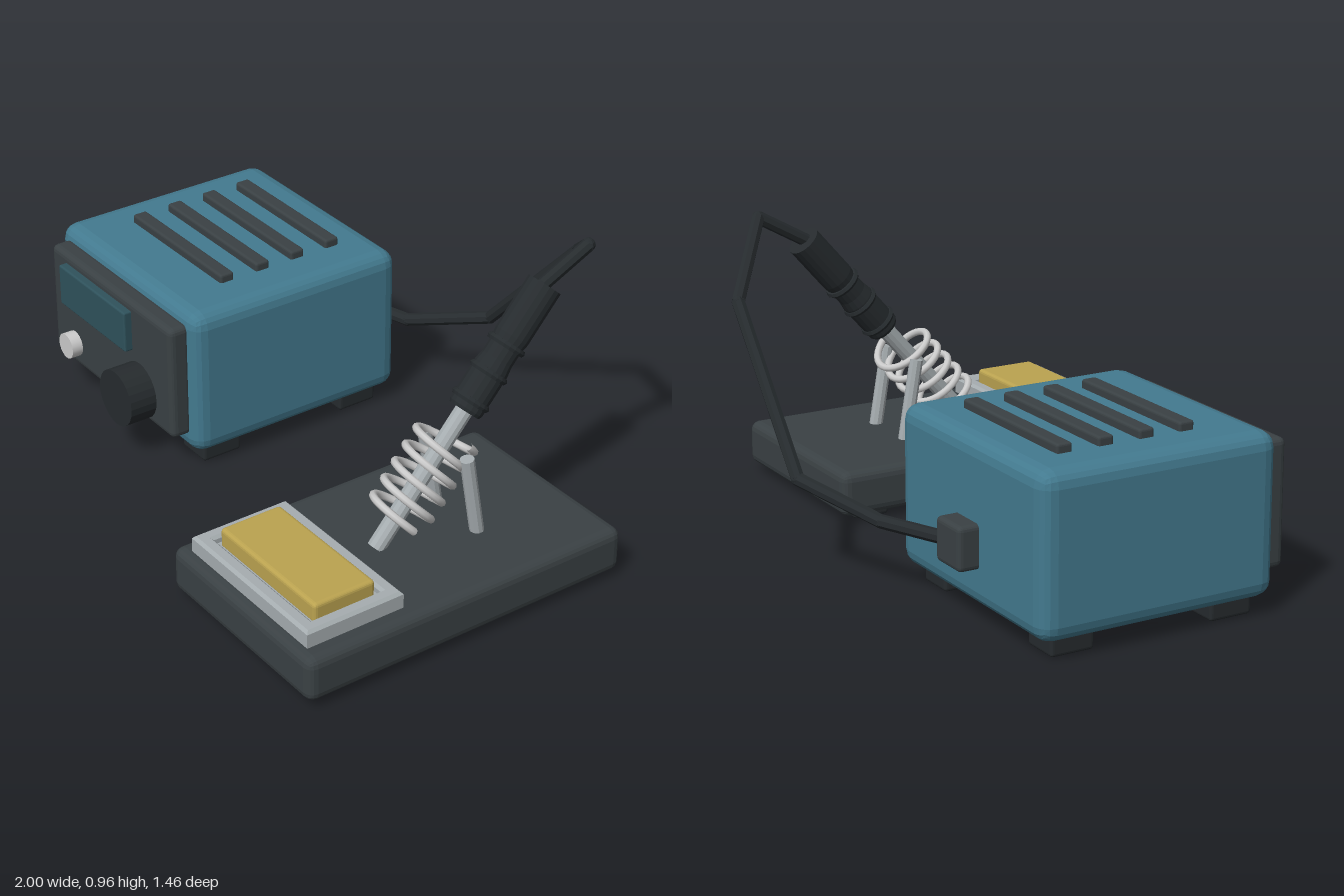
import * as THREE from 'three';
import { RoundedBoxGeometry } from 'three/addons/geometries/RoundedBoxGeometry.js';

const mat = (color) => new THREE.MeshStandardMaterial({ color, flatShading: true });
const teal = mat(0x437a8f), dark = mat(0x3a4144), black = mat(0x262b2e);
const glass = mat(0x2f525c), metal = mat(0xa6adb0), yellow = mat(0xbba350);
const wire = new THREE.MeshStandardMaterial({ color: 0xcccccc });
const V = (x, y, z) => new THREE.Vector3(x, y, z);

export function createModel() {
  const model = new THREE.Group();

  const add = (name, geometry, material, parent = model) => {
    const mesh = new THREE.Mesh(geometry, material);
    mesh.name = name;
    parent.add(mesh);
    return mesh;
  };
  const group = (name) => {
    const g = new THREE.Group();
    g.name = name;
    model.add(g);
    return g;
  };
  // Bevelled box given by its ranges on x, y and z
  const box = (name, [x0, x1], [y0, y1], [z0, z1], radius, material, parent) => {
    const g = new RoundedBoxGeometry(x1 - x0, y1 - y0, z1 - z0, 2, radius);
    g.translate((x0 + x1) / 2, (y0 + y1) / 2, (z0 + z1) / 2);
    return add(name, g, material, parent);
  };
  // Round bar between two points
  const bar = (name, a, b, radius, sides, material, parent) => {
    const mesh = add(name, new THREE.CylinderGeometry(radius, radius, a.distanceTo(b), sides), material, parent);
    mesh.position.copy(a).lerp(b, 0.5);
    mesh.quaternion.setFromUnitVectors(V(0, 1, 0), b.clone().sub(a).normalize());
    return mesh;
  };
  // Four feet mirrored about a centre
  const feet = (name, cx, cz, dx, dz, w, d, h, parent) => {
    for (const sx of [-1, 1]) for (const sz of [-1, 1]) {
      const x = cx + sx * dx, z = cz + sz * dz;
      box(name, [x - w / 2, x + w / 2], [0, h], [z - d / 2, z + d / 2], 0.01, black, parent);
    }
  };

  // Control station
  const station = group('station');
  box('housing', [-1, -0.195], [0.055, 0.55], [-0.465, 0.315], 0.05, teal, station);
  box('frontPanel', [-0.95, -0.24], [0.12, 0.51], [0.3, 0.375], 0.02, dark, station);
  box('display', [-0.86, -0.465], [0.34, 0.48], [0.36, 0.402], 0.006, glass, station);
  bar('button', V(-0.82, 0.2, 0.36), V(-0.82, 0.2, 0.413), 0.043, 20, wire, station);
  bar('knob', V(-0.425, 0.217, 0.36), V(-0.425, 0.217, 0.467), 0.094, 24, black, station);
  for (let i = 0; i < 4; i++) {
    const z = -0.31 + i * 0.134;
    box('ventSlat', [-0.86, -0.345], [0.535, 0.577], [z - 0.025, z + 0.025], 0.008, dark, station);
  }
  feet('stationFoot', -0.595, -0.072, 0.295, 0.265, 0.125, 0.14, 0.065, station);
  box('cordSocket', [-0.66, -0.525], [0.175, 0.31], [-0.53, -0.44], 0.015, dark, station);

  // Iron stand
  const stand = group('stand');
  box('standBase', [0.305, 0.995], [0.025, 0.17], [-0.395, 0.73], 0.03, dark, stand);
  feet('standFoot', 0.65, 0.167, 0.25, 0.44, 0.1, 0.12, 0.035, stand);

  // Sponge tray: bevelled rim with a hole, a floor and the sponge
  const rect = (shape, w, d) => {
    shape.moveTo(-w, -d);
    shape.lineTo(w, -d);
    shape.lineTo(w, d);
    shape.lineTo(-w, d);
    shape.closePath();
    return shape;
  };
  const rimShape = rect(new THREE.Shape(), 0.278, 0.156);
  rimShape.holes.push(rect(new THREE.Path(), 0.25, 0.128));
  const rim = new THREE.ExtrudeGeometry(rimShape, {
    depth: 0.05, bevelEnabled: true, bevelSize: 0.009, bevelThickness: 0.009, bevelSegments: 1,
  });
  rim.rotateX(-Math.PI / 2).translate(0.648, 0.165, 0.53);
  add('trayRim', rim, metal, stand);
  box('trayFloor', [0.395, 0.9], [0.16, 0.2], [0.4, 0.66], 0.004, metal, stand);
  box('sponge', [0.415, 0.882], [0.19, 0.257], [0.424, 0.633], 0.012, yellow, stand);

  // Struts that hold the spring
  for (const s of [-1, 1]) {
    bar('springStrut', V(0.65 + s * 0.1, 0.16, -0.045), V(0.65 + s * 0.1, 0.43, 0.002), 0.022, 10, metal, stand);
  }

  // Iron, built upright along y from its tip and then leaned back
  const iron = group('iron');
  iron.position.set(0.65, 0.165, 0.25);
  iron.quaternion.setFromUnitVectors(V(0, 1, 0), V(0, 0.685, -0.6).normalize());
  bar('shaft', V(0, 0, 0), V(0, 0.52, 0), 0.028, 12, metal, iron);
  const grip = [[0, 0.475], [0.05, 0.475], [0.055, 0.485], [0.055, 0.62], [0.05, 0.65],
    [0.05, 0.7], [0.055, 0.73], [0.055, 0.905], [0, 0.905]];
  add('handle', new THREE.LatheGeometry(grip.map(([r, y]) => new THREE.Vector2(r, y)), 18), black, iron);
  for (const y of [0.51, 0.605, 0.7]) {
    const ring = add('gripRing', new THREE.TorusGeometry(0.052, 0.011, 6, 20), black, iron);
    ring.position.y = y;
    ring.rotation.x = Math.PI / 2;
  }

  // Coiled holder around the shaft
  const coil = new THREE.Curve();
  coil.getPoint = (t, target = V(0, 0, 0)) => {
    const a = t * Math.PI * 10;
    return target.set(0.09 * Math.cos(a), 0.105 + 0.29 * t, 0.09 * Math.sin(a));
  };
  add('spring', new THREE.TubeGeometry(coil, 140, 0.012, 8), wire, iron);

  // Cord from the socket to the handle, with rounded joints
  const cord = group('cord');
  const path = [V(-0.59, 0.24, -0.47), V(-0.52, 0.232, -0.49), V(-0.28, 0.225, -0.572), V(-0.025, 0.305, -0.712),
    V(0.405, 0.745, -0.69), V(0.663, 0.935, -0.495), V(0.65, 0.845, -0.335)];
  for (let i = 1; i < path.length; i++) {
    bar('cordLength', path[i - 1], path[i], 0.021, 8, black, cord);
    add('cordJoint', new THREE.SphereGeometry(0.0212, 8, 6), black, cord).position.copy(path[i]);
  }

  return model;
}
